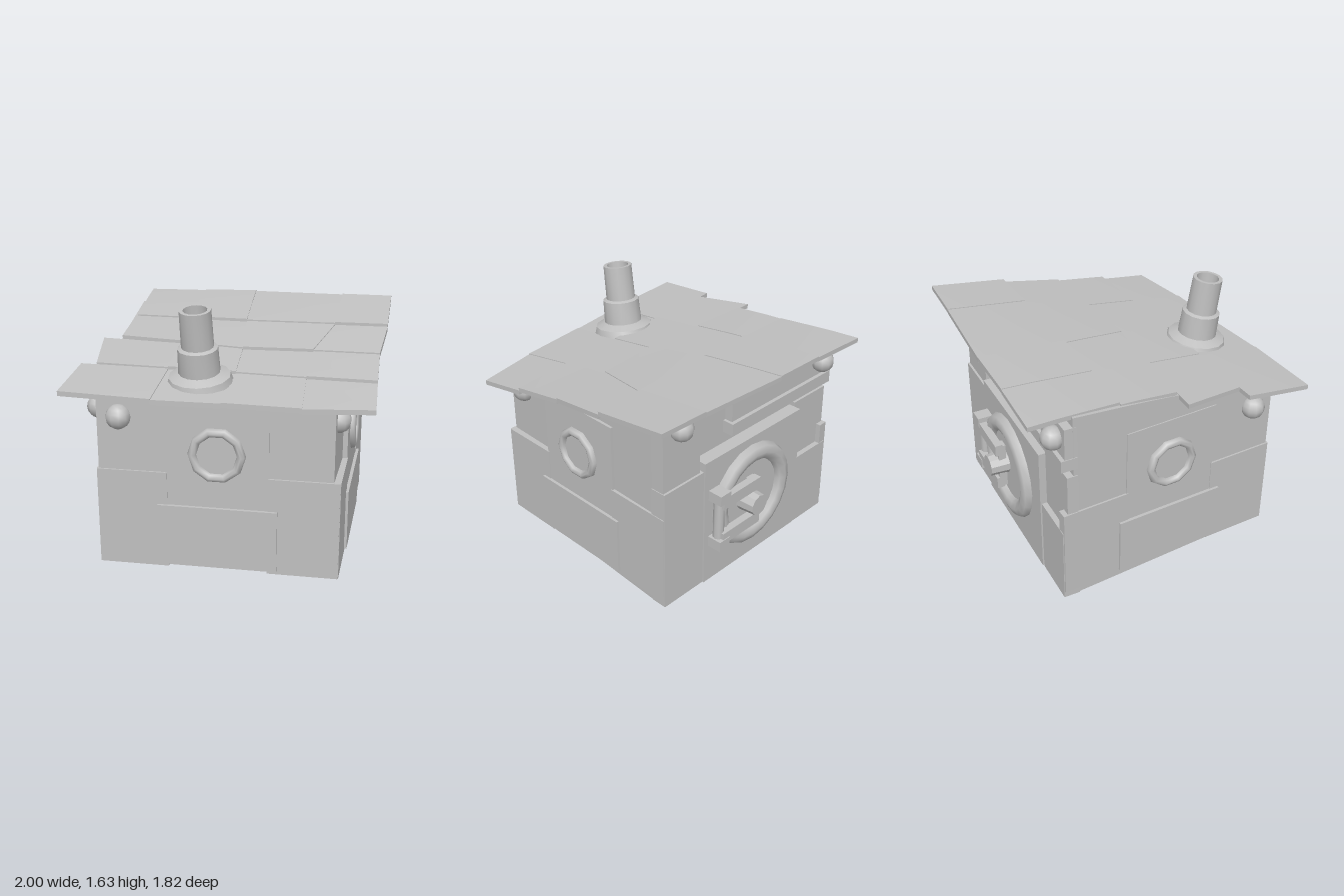
import * as THREE from 'three';
import { toCreasedNormals } from 'three/addons/utils/BufferGeometryUtils.js';

const clay = new THREE.MeshStandardMaterial({ color: 0xc0c0c0 });
clay.name = 'light grey';

const lerp = THREE.MathUtils.lerp;

// Height of the roof surface: a slightly twisted slope rising to the back
const slope = [[-0.92, 1.384], [-0.7, 1.364], [-0.2, 1.3], [0.2, 1.235], [0.9, 1.118]];
function roofHeight(x, z) {
  let i = 0;
  while (i < slope.length - 2 && z > slope[i + 1][0]) i++;
  const [z0, y0] = slope[i], [z1, y1] = slope[i + 1];
  return lerp(y0, y1, (z - z0) / (z1 - z0)) - 0.035 * x * z;
}

// Plan corners [x, z] of the skewed house; the upper front right corner is set in
const FL = [-0.81, 0.75], FR = [0.63, 0.89], BR = [0.815, -0.555], BL = [-0.73, -0.72];
const coreFR = [0.6, 0.885];

function add(parent, name, geometry, x = 0, y = 0, z = 0) {
  const mesh = new THREE.Mesh(geometry, clay);
  mesh.name = name;
  mesh.position.set(x, y, z);
  parent.add(mesh);
  return mesh;
}

// Box whose unit coordinates (u, v, w: 0..1) are moved by a rule
function mappedBox(segX, segZ, rule) {
  const g = new THREE.BoxGeometry(1, 1, 1, segX, 1, segZ);
  const p = g.attributes.position;
  for (let i = 0; i < p.count; i++) {
    p.setXYZ(i, ...rule(p.getX(i) + 0.5, p.getY(i) + 0.5, p.getZ(i) + 0.5));
  }
  return toCreasedNormals(g, 0.5);
}

// Point in a plan quad, u to the right and w to the front
function inQuad(bl, br, fl, fr, u, w) {
  return [0, 1].map((k) => lerp(lerp(bl[k], br[k], u), lerp(fl[k], fr[k], u), w));
}

// Group on the wall from a to b: local x along it, local z outward
function wallGroup(parent, name, a, b) {
  const g = new THREE.Group();
  g.name = name;
  g.position.set((a[0] + b[0]) / 2, 0, (a[1] + b[1]) / 2);
  g.rotation.y = Math.atan2(a[1] - b[1], b[0] - a[0]);
  parent.add(g);
  return g;
}

// Plate on a wall, given its extents and its outward reach
function plate(wall, name, x0, x1, y0, y1, z0, z1) {
  return add(wall, name, new THREE.BoxGeometry(x1 - x0, y1 - y0, z1 - z0),
    (x0 + x1) / 2, (y0 + y1) / 2, (z0 + z1) / 2);
}

function knob(wall, x, y, z) {
  add(wall, 'cornerBall', new THREE.SphereGeometry(0.075, 10, 8), x, y, z);
}

function buildBody(model) {
  const back = 0.05; // the rear is set back behind its plates
  add(model, 'houseBody', mappedBox(4, 8, (u, v, w) => {
    const [x, z] = inQuad(BL, BR, FL, coreFR, lerp(0.005, 0.995, u), lerp(back, 0.995, w));
    return [x, v > 0.5 ? roofHeight(x, z) - 0.005 : 0.05 * w, z];
  }));
}

// Round window, lower panel, corner cladding and ball of one wall
function buildSideWall(model, name, a, b, centre, ballX, ballZ) {
  const wall = wallGroup(model, name, a, b);
  const half = Math.hypot(b[0] - a[0], b[1] - a[1]) / 2;
  plate(wall, 'lowerPanel', centre - 0.36, centre + 0.36, 0.07, 0.455, -0.04, 0.02);
  for (const s of [-1, 1]) {
    const [x0, x1] = s < 0 ? [-half, centre - 0.3] : [centre + 0.3, half];
    plate(wall, 'cornerCladding', x0, x1, 0.045, 0.66, -0.06, 0.004);
  }
  plate(wall, 'middleCladding', centre - 0.31, centre + 0.31, 0.06, 1.1, -0.04, 0);
  const ring = add(wall, 'windowRing', new THREE.TorusGeometry(0.146, 0.028, 8, 10), centre, 0.79, 0);
  ring.scale.z = 1.2;
  add(wall, 'windowPane', new THREE.CircleGeometry(0.145, 10), centre, 0.79, 0.006);
  knob(wall, ballX, 1.0, ballZ);
}

function buildBackWall(model) {
  const wall = wallGroup(model, 'backWall', BR, BL);
  plate(wall, 'tallPost', -0.775, -0.44, 0.01, 0.84, -0.1, 0.005);
  plate(wall, 'upperPost', -0.77, -0.46, 0.82, 1.33, -0.1, -0.01);
  plate(wall, 'shortPost', 0.46, 0.77, 0, 0.52, -0.1, 0.005);
  plate(wall, 'recessedPost', 0.46, 0.77, 0.5, 0.93, -0.1, -0.03);
  plate(wall, 'upperBoard', -0.17, 0.765, 1.0, 1.27, -0.1, -0.02);
  plate(wall, 'boardLip', -0.19, 0.77, 0.98, 1.06, -0.1, 0.005);
  plate(wall, 'doorPanel', -0.44, 0.46, 0.01, 0.9, -0.1, 0.015);
  knob(wall, -0.64, 1.23, 0.01);
  knob(wall, 0.67, 1.17, 0.01);

  // Round hatch with hub and hinge
  const hatch = new THREE.Group();
  hatch.name = 'hatch';
  hatch.position.set(0, 0.49, 0.02);
  wall.add(hatch);
  const ring = add(hatch, 'hatchRing', new THREE.TorusGeometry(0.295, 0.06, 8, 20), -0.02, 0.005);
  ring.scale.z = 0.85;
  add(hatch, 'hatchDisc', new THREE.CircleGeometry(0.29, 20), -0.02, 0.005, 0.005);
  const hub = add(hatch, 'hatchHub', toCreasedNormals(
    new THREE.CylinderGeometry(0.07, 0.08, 0.14, 10), 0.6), -0.08, 0, 0.06);
  hub.rotation.x = Math.PI / 2;
  add(hatch, 'hingePin', toCreasedNormals(
    new THREE.CylinderGeometry(0.035, 0.035, 0.4, 8), 0.9), -0.36, 0, 0.04);
  for (const s of [-1, 1]) {
    add(hatch, 'hingeKnuckle', new THREE.BoxGeometry(0.09, 0.07, 0.11), -0.36, s * 0.17, 0.04);
    add(hatch, 'hingeArm', new THREE.BoxGeometry(0.34, 0.08, 0.05), -0.2, s * 0.13, 0.065);
  }
  add(hatch, 'hubBracket', new THREE.BoxGeometry(0.06, 0.32, 0.05), -0.06, 0, 0.045);
}

// Overlapping rows of large roof slabs
function buildRoof(model) {
  const roof = new THREE.Group();
  roof.name = 'roof';
  model.add(roof);
  const lines = [
    [[-0.7, -0.915], [-0.31, -0.865], [0.05, -0.83], [0.66, -0.735], [0.995, -0.69]],
    [[-0.72, -0.33], [-0.36, -0.29], [0.02, -0.25], [0.6, -0.21], [0.94, -0.19]],
    [[-0.76, 0.04], [-0.38, 0.1], [0.02, 0.17], [0.46, 0.18], [0.87, 0.2]],
    [[-0.85, 0.44], [-0.41, 0.47], [0, 0.5], [0.42, 0.53], [0.84, 0.55]],
    [[-1, 0.85], [-0.46, 0.89], [-0.06, 0.89], [0.4, 0.905], [0.815, 0.875]],
  ];
  const backLeftX = [-0.7, -0.73, -0.88, -0.945];
  for (let r = 0; r < 4; r++) {
    for (let c = 0; c < 4; c++) {
      const bl = c ? lines[r][c] : [backLeftX[r], lines[r][0][1]];
      const lift = 0.005 * ((r + c) % 2);
      add(roof, 'roofSlab', mappedBox(1, 3, (u, v, w) => {
        const [x, z] = inQuad(bl, lines[r][c + 1], lines[r + 1][c], lines[r + 1][c + 1], u, w);
        return [x, roofHeight(x, z) + lift + 0.014 * w - (v > 0.5 ? 0 : 0.03), z];
      }));
    }
  }
}

// Leaning hollow pipe with a flange and a wider sleeve
function buildChimney(model) {
  const profile = [[0.2, -0.03], [0.185, 0.02], [0.125, 0.045], [0.12, 0.195], [0.097, 0.205],
    [0.094, 0.43], [0.072, 0.43], [0.07, 0.24], [0, 0.24]];
  const pipe = new THREE.LatheGeometry(profile.map((p) => new THREE.Vector2(...p)), 14);
  const chimney = add(model, 'chimney', toCreasedNormals(pipe, 0.6), -0.205, 1.188, 0.598);
  chimney.rotation.set(0.13, 0, 0.04);
}

export function createModel() {
  const model = new THREE.Group();
  model.name = 'hut';
  buildBody(model);
  buildSideWall(model, 'frontWall', FL, FR, 0, -0.58, 0.01);
  buildSideWall(model, 'rightWall', FR, BR, -0.025, -0.59, -0.035);
  buildSideWall(model, 'leftWall', BL, FL, 0, 0.58, 0.01);
  buildBackWall(model);
  buildRoof(model);
  buildChimney(model);
  return model;
}
